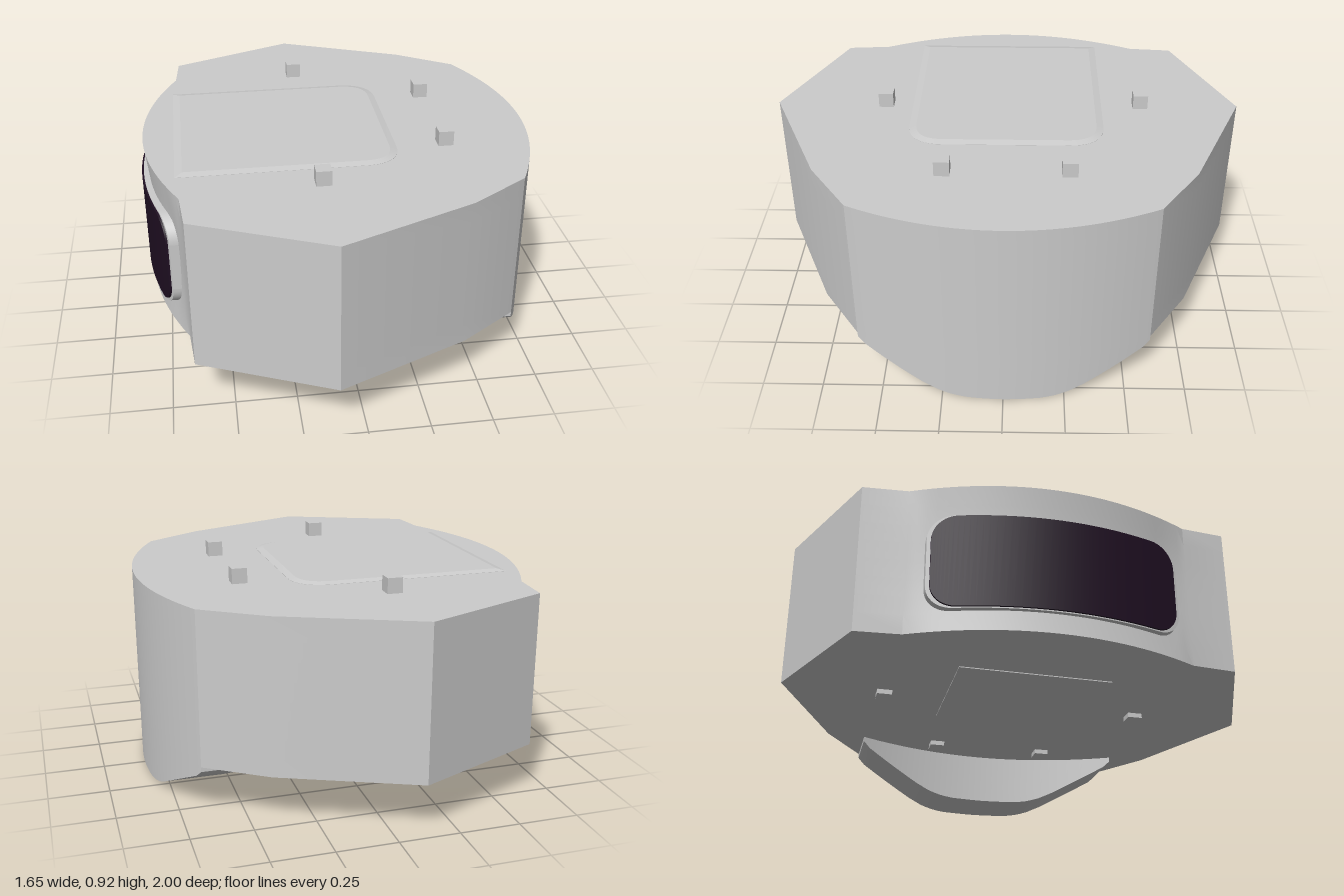
import * as THREE from 'three';
import { toCreasedNormals } from 'three/addons/utils/BufferGeometryUtils.js';

const BOTTOM = 0.22, TOP = 0.857;
const grey = new THREE.MeshStandardMaterial({ color: 0xcccccc });
const dark = new THREE.MeshStandardMaterial({ color: 0x1f0f22 });

// Bowed plan curves of the two long sides
const outerX = (z) => 0.822 - 0.15 * (z / 0.6) ** 2;
const screenSideX = (z) => -0.81 + 0.145 * (z / 0.58) ** 2;
const screenX = (z) => -0.825 + 0.095 * (z / 0.5) ** 2;

function add(group, name, geometry, material = grey) {
  const mesh = new THREE.Mesh(geometry, material);
  mesh.name = name;
  group.add(mesh);
  return mesh;
}

// Long box along z whose vertices are moved by rule(x, y, z) -> [x, y, z]
function bentBox(length, rule, segments = 40) {
  const geo = new THREE.BoxGeometry(1, 1, length, 1, 1, segments);
  const p = geo.attributes.position;
  for (let i = 0; i < p.count; i++) p.setXYZ(i, ...rule(p.getX(i), p.getY(i), p.getZ(i)));
  geo.computeVertexNormals();
  return geo;
}

// Upright extrusion of a plan shape
function upright(shape, y, options) {
  const geo = new THREE.ExtrudeGeometry(shape, { curveSegments: 10, ...options });
  geo.rotateX(-Math.PI / 2);
  geo.translate(0, y, 0);
  return geo;
}

// Body prism, its screen side hollowed slightly at mid height
function bodyGeometry() {
  const pts = [];
  for (let i = 0; i <= 40; i++) {
    const z = -0.6 + 1.2 * i / 40;
    pts.push([outerX(z), z]);
  }
  pts.push([0.43, 0.765], [-0.11, 1], [-0.65, 0.765]);
  for (let i = 0; i <= 32; i++) {
    const z = 0.58 - 1.16 * i / 32;
    pts.push([screenSideX(z), z]);
  }
  pts.push([-0.65, -0.765], [-0.11, -1], [0.43, -0.765]);
  const shape = new THREE.Shape(pts.map(([x, z]) => new THREE.Vector2(x, z)));
  const geo = upright(shape, BOTTOM, { depth: TOP - BOTTOM, steps: 8, bevelEnabled: false });
  const p = geo.attributes.position;
  for (let i = 0; i < p.count; i++) {
    if (p.getX(i) > -0.66) continue;
    const t = (p.getY(i) - BOTTOM) / (TOP - BOTTOM);
    const blend = Math.min(1, (0.58 - Math.abs(p.getZ(i))) / 0.1);
    p.setX(i, p.getX(i) + 0.025 * blend * Math.sin(Math.PI * t));
  }
  return toCreasedNormals(geo, 0.3);
}

// Panel with two rounded corners toward +x
function panelShape(x0, x1, w, r) {
  const s = new THREE.Shape();
  s.moveTo(x0, -w);
  s.lineTo(x1 - r, -w);
  s.quadraticCurveTo(x1, -w, x1, -w + r);
  s.lineTo(x1, w - r);
  s.quadraticCurveTo(x1, w, x1 - r, w);
  s.lineTo(x0, w);
  s.closePath();
  return s;
}

// Bowed plate with rounded corners
function curvedPlate(halfLength, halfHeight, radius, front, depth) {
  return bentBox(2, (x, y, u) => {
    const z = halfLength * Math.sin(u * Math.PI / 2);
    const d = Math.max(0, radius - (halfLength - Math.abs(z)));
    const h = halfHeight - radius + Math.sqrt(Math.max(0, radius * radius - d * d));
    return [screenX(z) + front + (x + 0.5) * depth, 0.51 + 2 * y * h, z];
  }, 48);
}

// Lower edge of the hanging lip
function lipBottom(z) {
  const a = Math.abs(z);
  const profile = [[0, 0], [0.16, 0.002], [0.22, 0.01], [0.27, 0.024], [0.33, 0.05], [0.58, 0.178], [0.6, 0.2]];
  for (let i = 1; i < profile.length; i++) {
    const [z0, y0] = profile[i - 1], [z1, y1] = profile[i];
    if (a <= z1) return y0 + (y1 - y0) * (a - z0) / (z1 - z0);
  }
  return 0.2;
}

export function createModel() {
  const model = new THREE.Group();
  model.name = 'device';

  add(model, 'body', bodyGeometry());

  // Curved lip hanging below the +x side
  add(model, 'hangingLip', bentBox(1.2, (x, y, z) =>
    [outerX(z) - 0.12 + x * 0.24, y > 0 ? BOTTOM : lipBottom(z), z]));

  // Wrapped screen in its frame
  add(model, 'screenFrame', curvedPlate(0.51, 0.203, 0.1, 0.008, 0.09));
  add(model, 'screen', curvedPlate(0.495, 0.198, 0.1, 0, 0.03), dark);

  // Shallow panels on the top and the underside
  add(model, 'topPanel', toCreasedNormals(upright(panelShape(-0.65, 0.2, 0.38, 0.12), TOP, {
    depth: 0.001, bevelThickness: 0.007, bevelSize: 0.03, bevelSegments: 1,
  }), 0.1));
  add(model, 'bottomPanel', upright(panelShape(-0.44, 0.2, 0.32, 0.12), BOTTOM - 0.004, {
    depth: 0.006, bevelEnabled: false,
  }));

  // Square pegs through the body, showing above and below
  for (const [x, z] of [[-0.11, -0.577], [-0.11, 0.525], [0.435, -0.258], [0.435, 0.247]]) {
    const peg = add(model, 'peg', new THREE.BoxGeometry(0.063, 0.72, 0.063));
    peg.position.set(x, 0.56, z);
  }
  return model;
}
